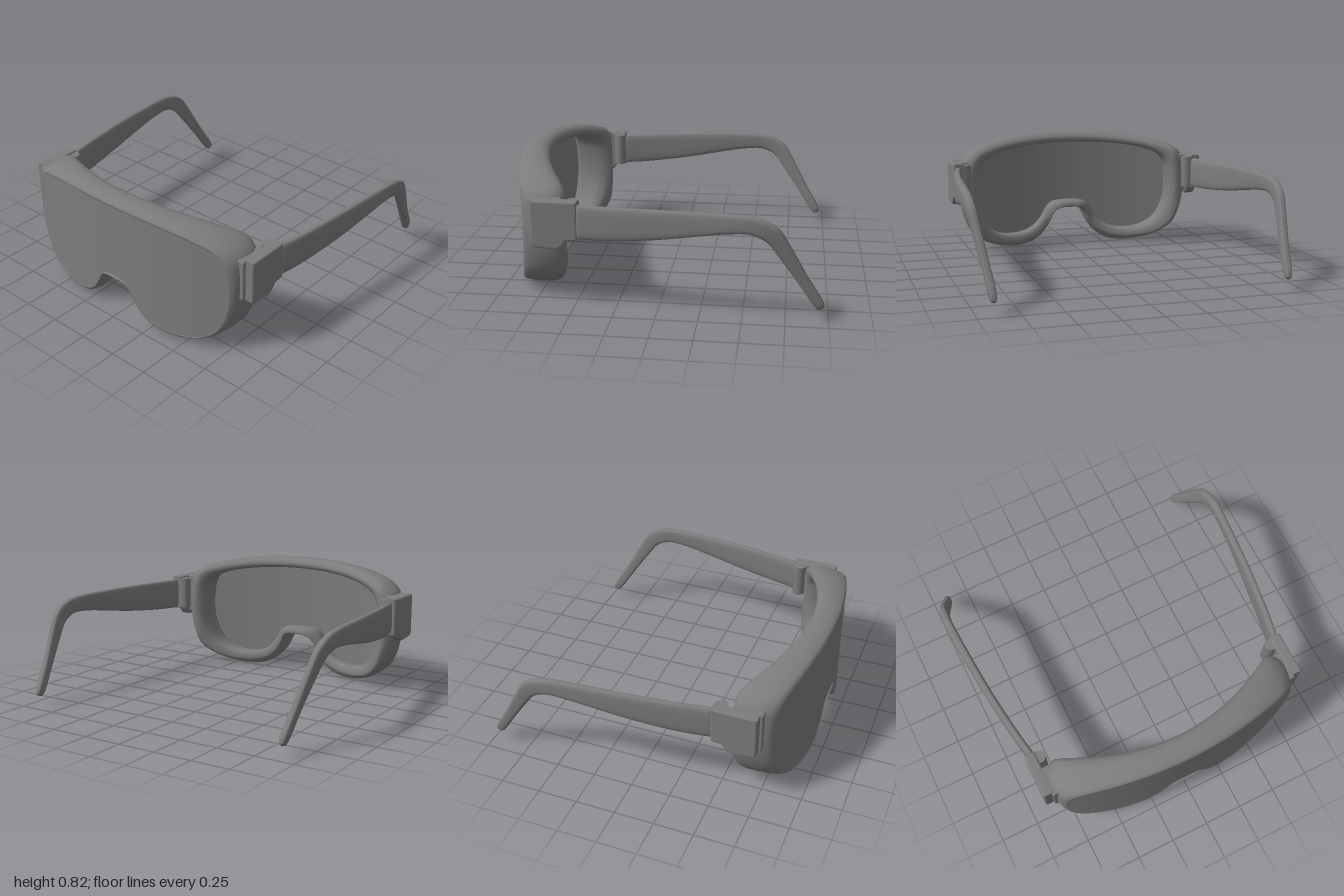
import * as THREE from 'three';
import { RoundedBoxGeometry } from 'three/addons/geometries/RoundedBoxGeometry.js';

const V = (x, y, z) => new THREE.Vector3(x, y, z);
const grey = new THREE.MeshStandardMaterial({ color: 0x7c7c7c, side: THREE.DoubleSide });
const { clamp, lerp, smoothstep } = THREE.MathUtils;

function part(name, geometry, x = 0, y = 0, z = 0) {
  const m = new THREE.Mesh(geometry, grey);
  m.name = name;
  m.position.set(x, y, z);
  return m;
}

// Skin a list of equally long point rings; wrap joins the last point to the first
function loft(rings, wrap = true) {
  const n = rings[0].length, index = [];
  for (let j = 0; j < rings.length - 1; j++) {
    for (let k = 0; k < (wrap ? n : n - 1); k++) {
      const a = j * n + k, b = j * n + (k + 1) % n;
      index.push(a, b, a + n, b, b + n, a + n);
    }
  }
  const g = new THREE.BufferGeometry().setFromPoints(rings.flat());
  g.setIndex(index);
  g.computeVertexNormals();
  return g;
}

// Half outlines from top centre, round the side, to the nose
const OUTER = [[0, .82], [.2, .815], [.4, .8], [.6, .767], [.735, .722], [.815, .655], [.83, .57], [.83, .42],
  [.805, .27], [.75, .15], [.655, .07], [.54, .022], [.4, 0], [.28, .02], [.2, .075], [.15, .145], [.115, .22], [.085, .255], [0, .265]];
const LENS = [[0, .777], [.2, .772], [.4, .757], [.58, .725], [.7, .685], [.742, .625], [.765, .54], [.775, .41],
  [.755, .27], [.7, .15], [.615, .08], [.5, .047], [.38, .043], [.28, .064], [.21, .105], [.16, .17], [.122, .235], [.09, .265], [0, .277]];
const INNER = [[0, .745], [.2, .74], [.4, .722], [.56, .69], [.65, .65], [.69, .6], [.705, .53], [.71, .41],
  [.69, .29], [.64, .19], [.57, .13], [.48, .1], [.38, .097], [.3, .115], [.24, .155], [.195, .21], [.155, .275], [.11, .308], [0, .32]];

function outline(half) {
  const back = half.slice(1, -1).reverse().map(([x, y]) => [-x, y]);
  const pts = [...half, ...back].map(([x, y]) => V(x, y, 0));
  const curve = new THREE.CatmullRomCurve3(pts, true, 'centripetal');
  const n = pts.length * 5;
  return Array.from({ length: n }, (_, k) => curve.getPoint(k / n));
}
const outer = outline(OUTER), lensEdge = outline(LENS), inner = outline(INNER);

// Wrap-around front and back surfaces, the back reaching further at the nose
const frontZ = x => .958 - .225 * x * x;
const nose = (x, y) => (1 - smoothstep(Math.abs(x), .06, .18)) * (1 - smoothstep(y, .32, .42));
const backZ = (x, y) => .795 - .43 * Math.min(Math.abs(x), .74) ** 2 - .055 * nose(x, y);

function frameGeometry() {
  // [from, to, mix, position from front (0) to back (1), z offset]
  const profile = [
    [lensEdge, inner, .5, 0, -.035], [lensEdge, inner, .02, 0, -.006], [lensEdge, outer, 0, 0, .002],
    [lensEdge, outer, .35, 0, .001], [lensEdge, outer, .7, .08, 0], [lensEdge, outer, .92, .28, 0],
    [lensEdge, outer, 1, .45, 0], [lensEdge, outer, 1, .68, 0], [lensEdge, outer, .78, .86, 0],
    [lensEdge, outer, .3, .97, 0], [lensEdge, inner, .1, 1, 0], [lensEdge, inner, .6, 1, .005],
    [lensEdge, inner, .95, .9, 0], [inner, inner, 0, .7, 0], [lensEdge, inner, .8, .35, 0],
    [lensEdge, inner, .5, 0, -.035],
  ];
  return loft(profile.map(([a, b, mix, depth, dz]) => a.map((p, k) => {
    const q = p.clone().lerp(b[k], mix);
    const f = frontZ(q.x) + .008 * nose(q.x, q.y);
    q.z = lerp(f, backZ(q.x, q.y), depth) + dz;
    return q;
  })));
}

// Visor: vertical columns between the upper and lower lens edge
function lensGeometry() {
  const half = lensEdge.slice(0, lensEdge.length / 2 + 1);
  let side = 0;
  half.forEach((p, k) => { if (p.x > half[side].x) side = k; });
  const top = half.slice(0, side + 1), bottom = half.slice(side).reverse();
  const yAt = (line, x) => {
    let i = 1;
    while (i < line.length - 1 && line[i].x < x) i++;
    const a = line[i - 1], b = line[i];
    return a.y + (b.y - a.y) * clamp((x - a.x) / (b.x - a.x || 1), 0, 1);
  };
  const columns = [];
  // Columns run from +x to -x so that the faces point forwards
  for (let i = 60; i >= -60; i--) {
    const x = half[side].x * Math.sin(i / 60 * Math.PI / 2), ax = Math.abs(x);
    const y0 = yAt(bottom, ax), y1 = yAt(top, ax);
    columns.push(Array.from({ length: 9 }, (_, k) => V(x, y1 + (y0 - y1) * k / 8, frontZ(x) - .001)));
  }
  return loft(columns, false);
}

// Temple arm: rounded sections between an upper and a lower edge line
function armGeometry() {
  // [z top, y top, z bottom, y bottom, centre x, half width]
  const stations = [[.48, .635, .48, .425, .858, .025], [.3, .638, .3, .433, .89, .025], [0, .645, 0, .466, .93, .025],
    [-.3, .648, -.25, .508, .956, .026], [-.47, .646, -.42, .533, .968, .027], [-.595, .63, -.54, .535, .972, .027],
    [-.7, .573, -.63, .494, .965, .026], [-.768, .468, -.7, .405, .95, .024], [-.872, .277, -.815, .24, .922, .023],
    [-.966, .12, -.915, .09, .902, .022], [-.974, .088, -.936, .07, .9, .015]];
  const upper = new THREE.CatmullRomCurve3(stations.map(s => V(s[4], s[1], s[0])), false, 'centripetal');
  const lower = new THREE.CatmullRomCurve3(stations.map(s => V(s[5], s[3], s[2])), false, 'centripetal');
  const soft = v => Math.sign(v) * Math.abs(v) ** .6;
  const rings = [];
  for (let i = 0; i <= 60; i++) {
    const t = upper.getPoint(i / 60), b = lower.getPoint(i / 60);
    const w = b.x;
    b.x = t.x;
    const c = t.clone().add(b).multiplyScalar(.5), h = t.clone().sub(c);
    rings.push(Array.from({ length: 24 }, (_, k) => {
      const a = k / 24 * Math.PI * 2;
      return c.clone().addScaledVector(h, soft(Math.cos(a))).add(V(w * soft(Math.sin(a)), 0, 0));
    }));
  }
  // Close both ends
  rings.unshift(rings[0].map(() => V(.858, .53, .48)));
  rings.push(rings[60].map(() => V(.9, .072, -.96)));
  return loft(rings);
}

function hingeGeometry() {
  // Side profile in (-z, y), extruded across x
  const s = new THREE.Shape();
  s.moveTo(-.74, .65);
  s.lineTo(-.475, .65);
  s.lineTo(-.475, .427);
  s.lineTo(-.545, .42);
  s.quadraticCurveTo(-.565, .37, -.61, .368);
  s.lineTo(-.72, .378);
  s.quadraticCurveTo(-.74, .38, -.74, .4);
  const g = new THREE.ExtrudeGeometry(s, {
    depth: .046, bevelThickness: .012, bevelSize: .012, bevelOffset: -.005, bevelSegments: 3, curveSegments: 8,
  });
  return g.rotateY(Math.PI / 2).translate(.839, 0, 0);
}

function hinge() {
  const g = new THREE.Group();
  g.add(
    part('hingeBlock', hingeGeometry()),
    // Plate joining the block to the frame
    part('hingePlate', new RoundedBoxGeometry(.07, .27, .19, 3, .012), .808, .52, .672),
    // Knuckle on the inner rear, with the web that carries it
    part('hingeKnuckle', new THREE.CylinderGeometry(.04, .04, .215, 24), .813, .5375, .507),
    part('hingeWeb', new THREE.BoxGeometry(.05, .215, .08), .836, .5375, .507),
  );
  return g;
}

// A part on the left and its mirror image on the right
function pair(name, make) {
  return [1, -1].map(side => {
    const o = make();
    o.name = (side > 0 ? 'left' : 'right') + name;
    o.scale.x = side;
    return o;
  });
}

export function createModel() {
  const model = new THREE.Group();
  model.name = 'visorGlasses';
  // The visor and hinges sit slightly off centre between the arms
  const visor = new THREE.Group();
  visor.name = 'visor';
  visor.position.x = -.008;
  visor.add(part('frame', frameGeometry()), part('lens', lensGeometry()), ...pair('Hinge', hinge));
  model.add(visor, ...pair('Arm', () => part('arm', armGeometry())));
  return model;
}
